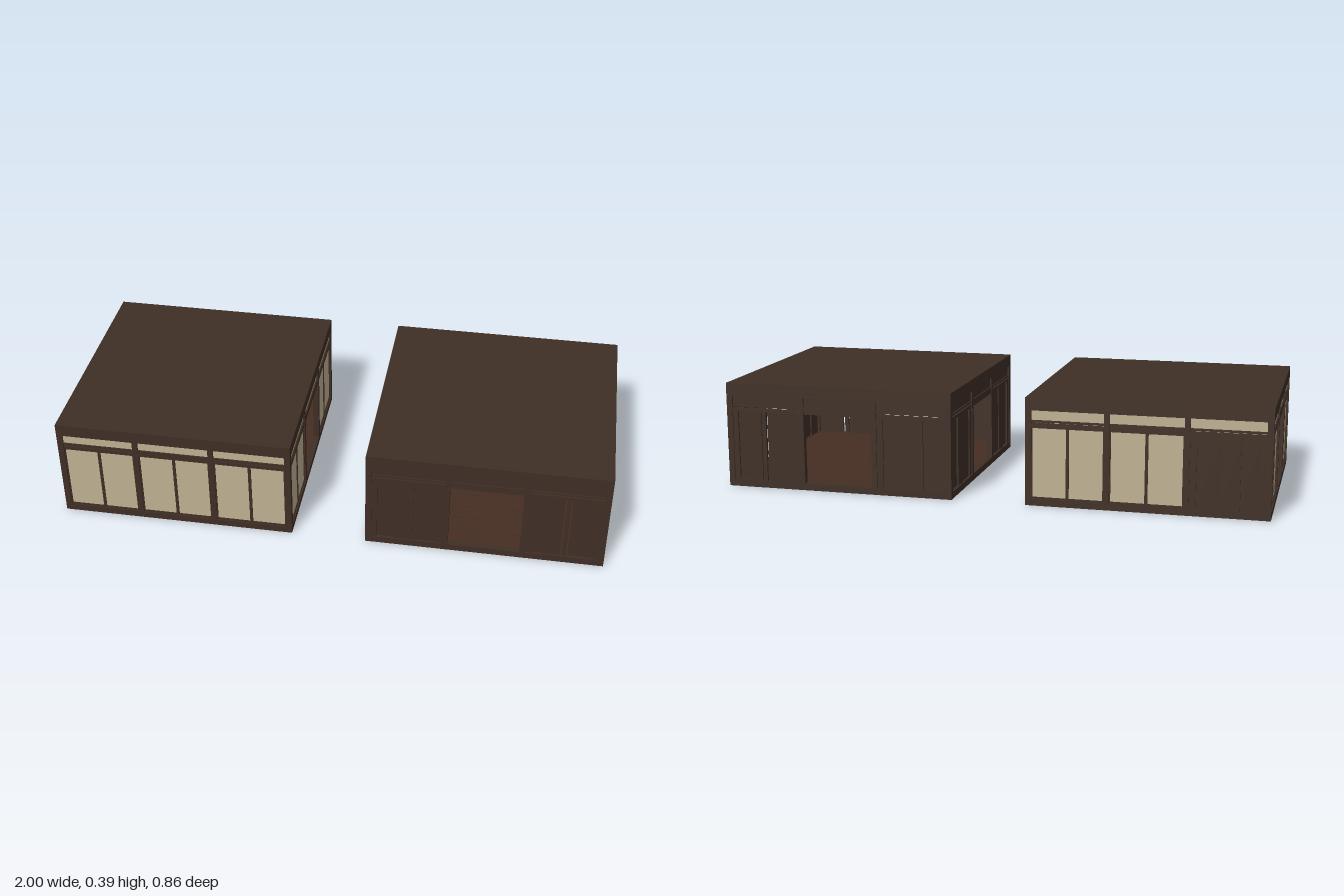
import * as THREE from 'three';

const wood = new THREE.MeshStandardMaterial({ color: 0x3f2f25 });
wood.name = 'dark wood';
const paper = new THREE.MeshStandardMaterial({ color: 0xbfb293 });
paper.name = 'cream paper';
const floorWood = new THREE.MeshStandardMaterial({ color: 0x462d22 });
floorWood.name = 'floor boards';
const iron = new THREE.MeshStandardMaterial({ color: 0x2b2019 });
iron.name = 'lantern iron';

const HALF = 0.432, HEIGHT = 0.39, SILL = 0.025, HEAD = 0.285;

// Box given by its minimum and maximum corners
function box(parent, name, mat, x0, x1, y0, y1, z0, z1) {
  const mesh = new THREE.Mesh(new THREE.BoxGeometry(x1 - x0, y1 - y0, z1 - z0), mat);
  mesh.position.set((x0 + x1) / 2, (y0 + y1) / 2, (z0 + z1) / 2);
  mesh.name = name;
  parent.add(mesh);
  return mesh;
}

// Pair of paper sliding screens
function paperScreens(wall, c) {
  const z0 = HALF - 0.016, z1 = HALF - 0.005;
  box(wall, 'screenPaper', paper, c - 0.13, c + 0.13, SILL, HEAD, HALF - 0.014, HALF - 0.008);
  for (const [u, w] of [[-0.128, 0.004], [0, 0.011], [0.128, 0.004]])
    box(wall, 'screenStile', wood, c + u - w / 2, c + u + w / 2, SILL, HEAD, z0, z1);
  box(wall, 'screenBottomRail', wood, c - 0.13, c + 0.13, SILL, SILL + 0.006, z0, z1);
  box(wall, 'screenTopRail', wood, c - 0.13, c + 0.13, HEAD - 0.004, HEAD, z0, z1);
}

// Solid wooden shutters of stepped boards; slatted ones keep two narrow gaps
function shutters(wall, c, side, slatted) {
  const edges = slatted
    ? [[-0.13, -0.106], [-0.106, -0.004], [0.001, 0.017], [0.022, 0.11], [0.11, 0.13]]
    : [[-0.13, -0.106], [-0.106, -0.022], [-0.022, 0.045], [0.045, 0.11], [0.11, 0.13]];
  edges.forEach(([a, b], i) => {
    const x0 = c + Math.min(a * side, b * side), x1 = c + Math.max(a * side, b * side);
    const front = HALF - [0.004, 0.009, 0.005, 0.011, 0.004][i];
    box(wall, 'shutterBoard', wood, x0, x1, SILL, HEAD, front - 0.008, front);
  });
}

// One wall facing +z, its three bays listed from left to right
function makeWall(name, bays, transomMat) {
  const wall = new THREE.Group();
  wall.name = name;
  box(wall, 'sill', wood, -HALF, HALF, 0, SILL, HALF - 0.022, HALF);
  box(wall, 'topBeam', wood, -HALF, HALF, 0.345, HEIGHT - 0.01, HALF - 0.022, HALF);
  for (const x of [-0.421, -0.14, 0.14, 0.421]) {
    const w = Math.abs(x) > 0.3 ? 0.011 : 0.01;
    box(wall, 'post', wood, x - w, x + w, SILL, 0.345, HALF - 0.022, HALF);
  }
  bays.forEach((kind, i) => {
    const c = (i - 1) * 0.28, l = c - 0.13, r = c + 0.13;
    const headTop = i === 1 ? 0.302 : 0.297;
    box(wall, 'lintel', wood, l, r, HEAD, headTop, HALF - 0.02, HALF - 0.002);
    box(wall, 'transomRail', wood, l, r, 0.302, 0.31, HALF - 0.02, HALF - 0.002);
    box(wall, 'transomPanel', transomMat, l, r, 0.31, 0.345, HALF - 0.014, HALF - 0.007);
    if (kind === 'paper') paperScreens(wall, c);
    if (kind === 'wood' || kind === 'slatted') shutters(wall, c, i === 0 ? -1 : 1, kind === 'slatted');
  });
  return wall;
}

// Hanging six-sided lantern
function makeLantern() {
  const lantern = new THREE.Group();
  lantern.name = 'lantern';
  const ring = (name, mat, rTop, rBottom, y0, y1, sides = 6) => {
    const mesh = new THREE.Mesh(new THREE.CylinderGeometry(rTop, rBottom, y1 - y0, sides).toNonIndexed(), mat);
    mesh.geometry.computeVertexNormals();
    mesh.position.y = (y0 + y1) / 2;
    mesh.name = name;
    lantern.add(mesh);
  };
  ring('lanternPaper', paper, 0.0165, 0.0165, 0.22, 0.272);
  ring('lanternBase', iron, 0.02, 0.019, 0.216, 0.221);
  ring('lanternBand', iron, 0.0185, 0.0185, 0.245, 0.248);
  ring('lanternTopBand', iron, 0.02, 0.02, 0.268, 0.273);
  ring('lanternCap', iron, 0.014, 0.026, 0.273, 0.283);
  ring('lanternCrown', iron, 0.016, 0.012, 0.283, 0.297);
  ring('lanternFinial', iron, 0.005, 0.001, 0.208, 0.216);
  ring('lanternRod', iron, 0.002, 0.002, 0.297, 0.366);
  for (let i = 0; i < 6; i++) {
    const a = (i / 6) * Math.PI * 2, x = Math.sin(a) * 0.0175, z = Math.cos(a) * 0.0175;
    box(lantern, 'lanternBar', iron, x - 0.0015, x + 0.0015, 0.218, 0.272, z - 0.0015, z + 0.0015);
  }
  return lantern;
}

// Square pavilion: base, floor, ceiling joists, flat roof, four walls and a lantern
function makeRoom(name, x, walls, transomMat) {
  const room = new THREE.Group();
  room.name = name;
  room.position.x = x;
  const inner = HALF - 0.022;
  box(room, 'base', wood, -inner, inner, 0, 0.018, -inner, inner);
  const planks = 12, step = (2 * inner) / planks;
  for (let i = 0; i < planks; i++) {
    const z = -inner + i * step;
    box(room, 'floorBoard', floorWood, -inner, inner, 0.018, 0.024, z + 0.001, z + step - 0.001);
  }
  box(room, 'roof', wood, -HALF, HALF, 0.366, HEIGHT, -HALF, HALF);
  for (let i = 1; i < 18; i++) {
    const z = -inner + (i * 2 * inner) / 18;
    box(room, 'ceilingJoist', wood, -inner, inner, 0.352, 0.366, z - 0.006, z + 0.006);
  }
  ['frontWall', 'leftWall', 'backWall', 'rightWall'].forEach((wallName, i) => {
    const wall = makeWall(wallName, walls[i], transomMat);
    wall.rotation.y = (i * Math.PI) / 2;
    room.add(wall);
  });
  room.add(makeLantern());
  return room;
}

export function createModel() {
  const model = new THREE.Group();
  model.name = 'pavilions';
  const paperDoor = ['paper', 'open', 'paper'], woodDoor = ['wood', 'open', 'wood'];
  model.add(makeRoom('paperRoom', -0.568,
    [['paper', 'paper', 'paper'], paperDoor, ['paper', 'paper', 'wood'], paperDoor], paper));
  model.add(makeRoom('woodRoom', 0.568,
    [['wood', 'open', 'slatted'], woodDoor, ['slatted', 'open', 'wood'], woodDoor], wood));
  return model;
}
